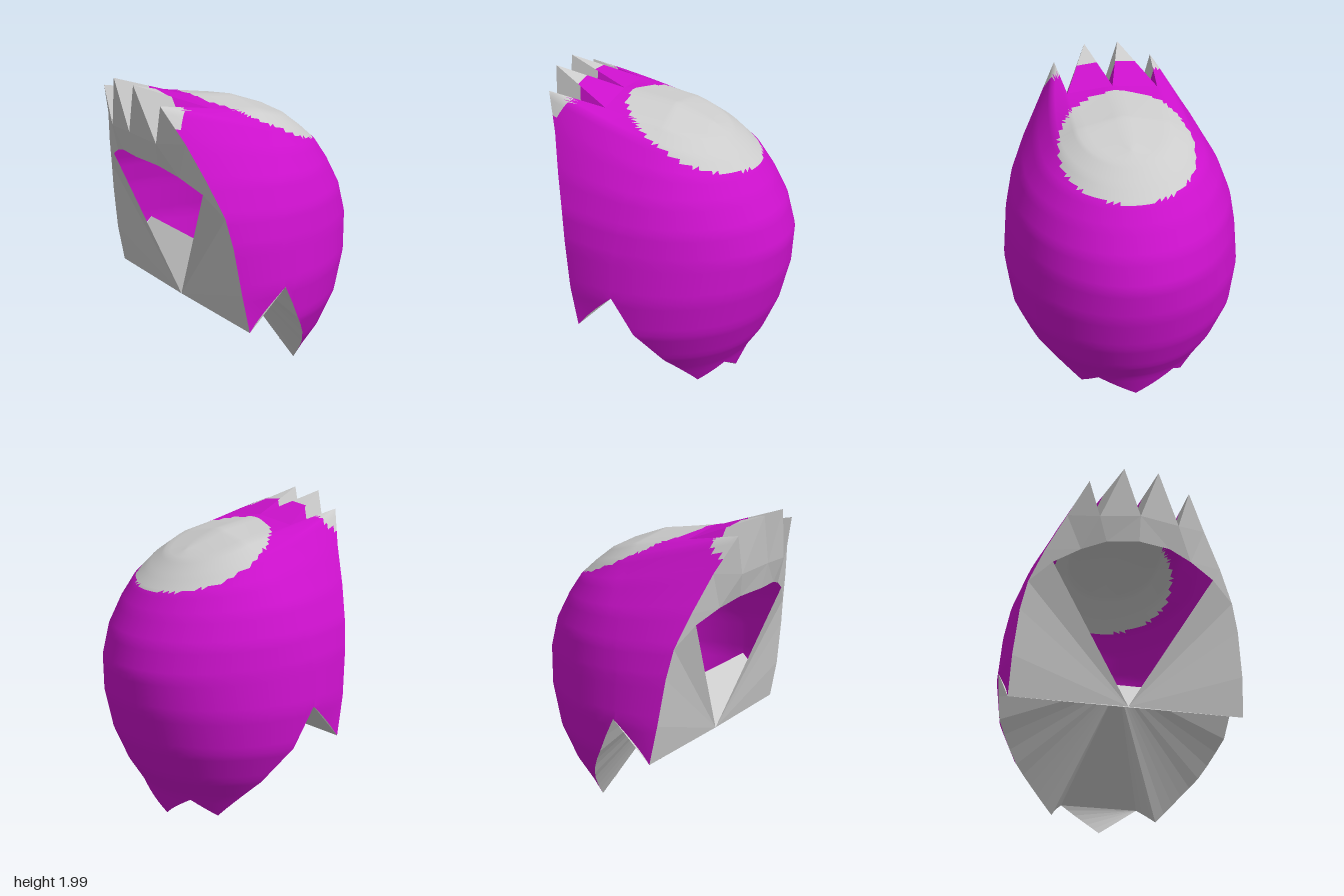
import * as THREE from 'three';
import { mergeVertices } from 'three/addons/utils/BufferGeometryUtils.js';

const MAGENTA = 0xcc11cc, GREY = 0xcccccc;
const material = (color, flatShading) =>
  new THREE.MeshStandardMaterial({ color, flatShading, side: THREE.DoubleSide });

// Half rings from low to high: front point x,y,z | widest point x,y,z | back point y,z
const ROWS = [
  [.60, 0, .30, .44, 0, .13, 0, -.42],
  [.68, .2, .33, .56, .2, .13, .2, -.505],
  [.70, .35, .35, .65, .35, .13, .35, -.60],
  [.73, .56, .37, .735, .56, .13, .56, -.69],
  [.72, .81, .42, .76, .81, .13, .81, -.75],
  [.69, 1.1, .46, .735, 1.08, .13, 1.03, -.765],
  [.65, 1.28, .49, .70, 1.25, .10, 1.22, -.715],
  [.56, 1.48, .55, .63, 1.43, .08, 1.38, -.63],
  [.44, 1.7, .62, .53, 1.58, .03, 1.50, -.55],
  [.32, 1.91, .71, .42, 1.7, 0, 1.58, -.46],
  [.29, 1.84, .35, .29, 1.77, -.03, 1.67, -.35],
  [0, 1.87, .35, 0, 1.82, 0, 1.73, -.24],
];
const TOP = ROWS.length - 1, SUB = 5;

// Jagged lower rim: position around the half ring, height
const RIM = [[-1, .56], [0, .81], [.1, .56], [.25, .33], [.5, .06], [.7, .18], [1, .01]];

const lerp = THREE.MathUtils.lerp;

// Point on the shell: s = -1 front edge, 0 widest, 1 back; v = row number
function shellPoint(s, v) {
  const i = Math.min(Math.floor(v), TOP - 1);
  const [fx, fy, fz, mx, my, mz, by, bz] = ROWS[i].map((a, k) => lerp(a, ROWS[i + 1][k], v - i));
  if (s < 0) return new THREE.Vector3(lerp(mx, fx, s * s), lerp(my, fy, -s), lerp(mz, fz, -s));
  const c = Math.cos(s * Math.PI / 2), q = Math.sin(s * Math.PI / 2);
  return new THREE.Vector3(s === 1 ? 0 : mx * c, lerp(my, by, q), lerp(mz, bz, q));
}

// Row number at which the rim cuts the shell
function rimRow(s) {
  let k = 0;
  while (k < RIM.length - 2 && s > RIM[k + 1][0]) k++;
  const [s0, y0] = RIM[k], [s1, y1] = RIM[k + 1];
  const y = lerp(y0, y1, (s - s0) / (s1 - s0));
  let i = 0;
  while (i < 4 && y >= ROWS[i + 1][1]) i++;
  return i + (y - ROWS[i][1]) / (ROWS[i + 1][1] - ROWS[i][1]);
}
const rimPoint = s => shellPoint(s, rimRow(s));
const mirror = p => new THREE.Vector3(-p.x, p.y, p.z);
const V = (x, y, z) => new THREE.Vector3(x, y, z);

// Mesh of loose flat triangles
function facets(name, tris, color) {
  const g = new THREE.BufferGeometry().setFromPoints(tris.flat());
  g.computeVertexNormals();
  const m = new THREE.Mesh(g, material(color, true));
  m.name = name;
  return m;
}
const fan = (centre, pts) => pts.slice(1).map((p, i) => [centre, pts[i], p]);
const bothSides = tris => [...tris, ...tris.map(([a, b, c]) => [mirror(a), mirror(c), mirror(b)])];

// Rounded outer shell, divided into the main body and the pale crown and outer tips
function buildShell(group) {
  const cols = 81, rows = TOP * SUB + 1, pos = [], idx = [], first = [];
  for (let j = 0; j < cols; j++) {
    const right = j <= 40, s = Math.round((right ? j : 80 - j) - 20) / 20;
    const v0 = rimRow(s);
    first.push(Math.floor(v0 * SUB));
    for (let i = 0; i < rows; i++) {
      const p = shellPoint(s, Math.max(v0, i / SUB));
      pos.push(right ? p.x : -p.x, p.y, p.z);
    }
  }
  const at = (j, i) => j * rows + Math.max(i, first[j]);
  for (let j = 0; j < cols - 1; j++) for (let i = 0; i < rows - 1; i++) {
    const a = at(j, i), b = at(j + 1, i), c = at(j, i + 1), d = at(j + 1, i + 1);
    idx.push(a, b, d, a, d, c);
  }
  let g = new THREE.BufferGeometry();
  g.setAttribute('position', new THREE.Float32BufferAttribute(pos, 3));
  g.setIndex(idx);
  g = mergeVertices(g, 1e-4);
  g.computeVertexNormals();

  const P = g.attributes.position, pale = [], body = [], mid = V(0, 0, 0);
  const tip = V(.32, 1.91, .71);
  for (let k = 0; k < g.index.count; k += 3) {
    const t = [0, 1, 2].map(n => g.index.getX(k + n));
    if (t[0] === t[1] || t[1] === t[2] || t[0] === t[2]) continue;
    mid.set(0, 0, 0);
    t.forEach(n => mid.add(V(P.getX(n), P.getY(n), P.getZ(n)).divideScalar(3)));
    mid.x = Math.abs(mid.x);
    const crown = mid.y > 1.4 && Math.hypot(mid.x, mid.z + .125) < .42;
    (crown || mid.distanceTo(tip) < .16 ? pale : body).push(...t);
  }
  for (const [name, list, color] of [['shell', body, MAGENTA], ['paleCrown', pale, GREY]]) {
    const part = g.clone();
    part.setIndex(list);
    const m = new THREE.Mesh(part, material(color, false));
    m.name = name;
    group.add(m);
  }
}

export function createModel() {
  const group = new THREE.Group();
  group.name = 'spikedHood';
  buildShell(group);

  // Front edge of the shell, brow arc, spike tips and the valleys between them
  const edge = [3, 4, 5, 6, 7, 8, 9].map(v => shellPoint(-1, v));
  const [, , , F6, F7, F8, T1] = edge;
  const A0 = V(.51, 1.4, .55), A1 = V(.35, 1.475, .61), A2 = V(.2, 1.52, .66), A3 = V(0, 1.53, .69);
  const T2 = V(.11, 2, .76), V1 = V(.25, 1.67, .7), V0 = V(0, 1.69, .73);
  const P1 = V(.29, 1.84, .35), P0 = V(0, 1.87, .35);
  const chin = V(0, .56, .38);

  // Cheek panels either side of the face opening
  group.add(facets('cheekPanels', bothSides(fan(chin, [...edge.slice(0, 4), A0])), GREY));

  // Brow rising into the spikes
  group.add(facets('brow', bothSides([
    [A0, F6, F7], [A0, F7, A1], [A1, F7, F8], [A1, F8, V1], [F8, T1, V1],
    [A1, V1, A2], [A2, V1, V0], [V1, T2, V0], [A2, V0, A3],
  ]), GREY));

  // Spike tops and valley walls: coloured at the root, pale toward the tip
  const roots = [], tips = [];
  const split = (root, a, b, f) => {
    const ra = root.clone().lerp(a, f), rb = root.clone().lerp(b, f);
    roots.push([root, ra, rb]);
    tips.push([ra, a, b], [ra, b, rb]);
  };
  split(P0, V0, T2, .5);
  split(P1, T2, V1, .5);
  split(P1, V1, T1, .5);
  const m0 = P0.clone().lerp(T2, .55), m1 = P1.clone().lerp(T2, .55);
  roots.push([P0, m0, m1], [P0, m1, P1]);
  tips.push([m0, T2, m1]);
  group.add(facets('spikeRoots', bothSides(roots), MAGENTA));
  group.add(facets('spikeTips', bothSides(tips), GREY));

  // Sloping chin plate
  const c = edge[0], n = rimPoint(0);
  group.add(facets('chinPlate', [[mirror(c), c, n], [mirror(c), n, mirror(n)]], GREY));

  // Underside closing the jagged lower rim
  const side = [], back = [];
  for (let k = 0; k <= 14; k++) side.push(rimPoint(k / 20));
  for (let k = 14; k <= 20; k++) back.push(rimPoint(k / 20));
  const hub = V(0, .81, .13), last = side[14];
  const nape = [...back, ...back.slice(0, -1).reverse().map(mirror)];
  group.add(facets('underside', [
    ...bothSides(fan(hub, side).map(([a, b, d]) => [a, d, b])),
    [hub, mirror(last), last],
    ...fan(last, nape.slice(1)).map(([a, b, d]) => [a, d, b]),
  ], GREY));
  return group;
}
